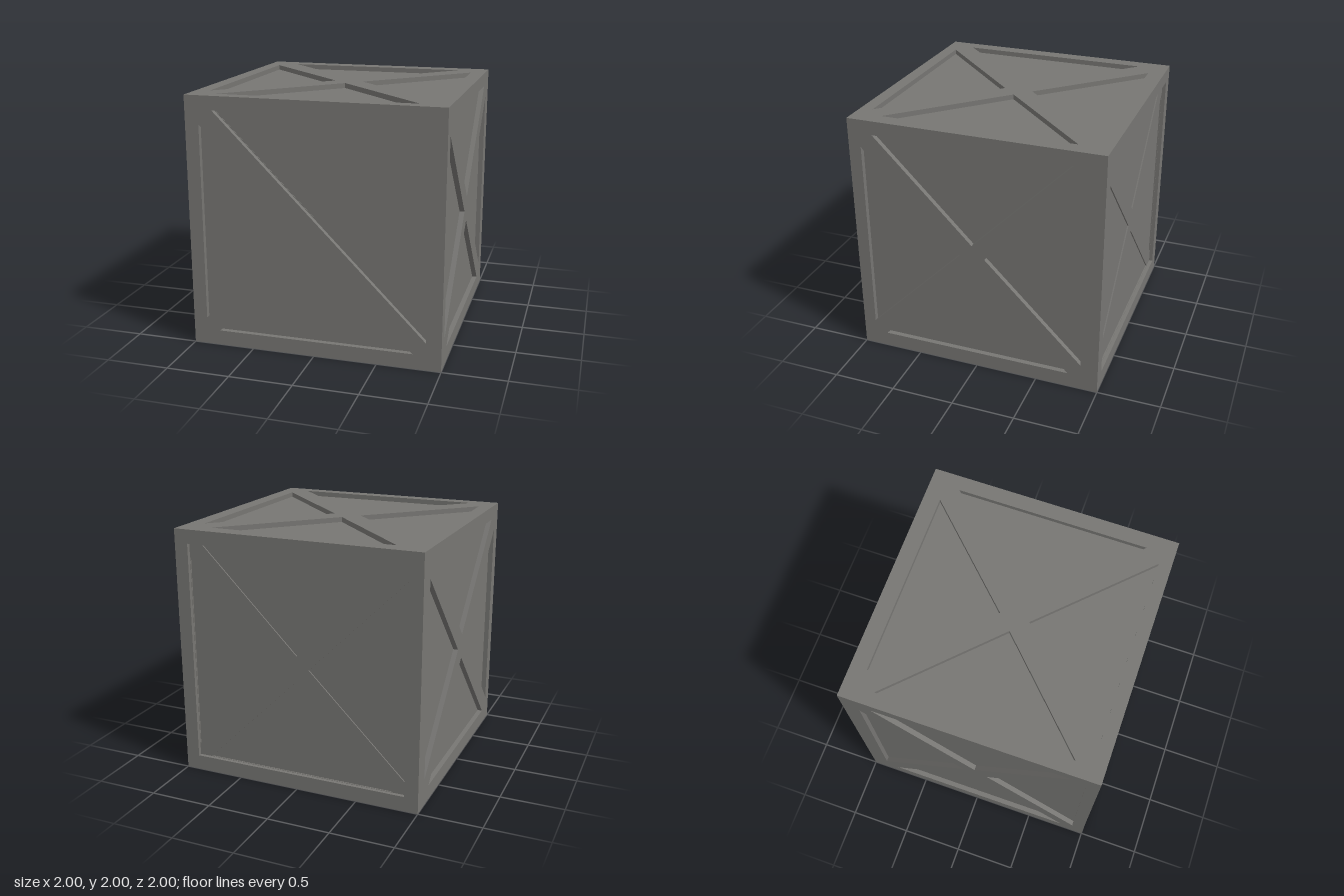
import * as THREE from 'three';
import { mergeGeometries } from 'three/addons/utils/BufferGeometryUtils.js';

const DEPTH = 0.04;
const vec = (points) => points.map(([u, v]) => new THREE.Vector2(u, v));

// Flat region at height z with polygonal openings.
function flat(outline, holes, z) {
  const shape = new THREE.Shape(vec(outline));
  for (const h of holes) shape.holes.push(new THREE.Path(vec(h)));
  const g = new THREE.ShapeGeometry(shape).toNonIndexed();
  g.deleteAttribute('uv');
  return g.translate(0, 0, z);
}

// Inward-facing walls around a counter-clockwise opening.
function walls(outline, top, bottom) {
  const p = [];
  outline.forEach((a, i) => {
    const b = outline[(i + 1) % outline.length];
    p.push(...a, top, ...b, top, ...b, bottom);
    p.push(...a, top, ...b, bottom, ...a, bottom);
  });
  const g = new THREE.BufferGeometry();
  g.setAttribute('position', new THREE.Float32BufferAttribute(p, 3));
  g.computeVertexNormals();
  return g;
}

const square = (h, b = -h) => [[-h, b], [h, b], [h, h], [-h, h]];

// Four triangular openings between the diagonal braces, counter-clockwise.
function triangles({ left = -0.89, right = 0.88, top = 0.89, bottom = -0.88, cu = 0, cv = 0,
  gap = 0.1, topHalf = 0.78, bottomHalf = 0.78, sideHalf = 0.78 }) {
  return {
    top: [[cu + topHalf, top], [cu - topHalf, top], [cu, cv + gap]],
    bottom: [[cu - bottomHalf, bottom], [cu + bottomHalf, bottom], [cu, cv - gap]],
    left: [[left, cv + sideHalf], [left, cv - sideHalf], [cu - gap, cv]],
    right: [[right, cv - sideHalf], [right, cv + sideHalf], [cu + gap, cv]],
  };
}

export function createModel() {
  const grey = new THREE.MeshStandardMaterial({ color: 0x777673 });
  grey.name = 'crateGrey';
  const model = new THREE.Group();
  model.name = 'crate';

  function addPanel(name, rx, ry, build) {
    const panel = new THREE.Group();
    panel.name = name;
    panel.position.y = 1;
    panel.rotation.set(rx, ry, 0);
    for (const [part, list] of Object.entries(build)) {
      const mesh = new THREE.Mesh(mergeGeometries(list), grey);
      mesh.name = part;
      panel.add(mesh);
    }
    model.add(panel);
  }

  // Frame and cross braces at the surface, with sunken triangular boards.
  function bracedPanel(name, rx, ry, options) {
    const holes = Object.values(triangles(options));
    addPanel(name, rx, ry, {
      frameAndBraces: [flat(square(1), holes, 1), ...holes.map((h) => walls(h, 1, 1 - DEPTH))],
      sunkenBoards: holes.map((h) => flat(h, [], 1 - DEPTH)),
    });
  }

  const half = Math.PI / 2;
  bracedPanel('rightSide', 0, half, { left: -0.9, right: 0.86, cu: -0.02 });
  bracedPanel('leftSide', 0, -half, { left: -0.86, right: 0.9, cu: 0.02 });
  const lid = { top: 0.87, bottom: -0.9, cv: -0.01, gap: 0.115, topHalf: 0.75, sideHalf: 0.765 };
  bracedPanel('topSide', -half, 0, lid);
  bracedPanel('underside', half, 0, {
    ...lid, top: 0.9, bottom: -0.87, cv: 0.01, topHalf: 0.78, bottomHalf: 0.75,
  });

  // Front: the upper right brace lies sunken, level with the boards.
  const f = triangles({});
  const corner = [[-0.78, 0.89], [0.88, -0.78], [0.88, 0.89]];
  const frontHoles = [f.left, f.bottom, corner];
  const floor = 1 - DEPTH;
  const inset = [[0.775, 0.887], [-0.77, 0.887], [0, 0.113]];
  addPanel('frontSide', 0, 0, {
    frameAndBraces: [flat(square(1), frontHoles, 1), ...frontHoles.map((h) => walls(h, 1, floor))],
    sunkenBoards: [
      flat(f.left, [], floor), flat(f.bottom, [], floor), flat(corner, [inset], floor),
      walls(inset, floor, floor - 0.003), flat(inset, [], floor - 0.003),
    ],
  });

  // Back: square opening with the whole cross set below the frame.
  const opening = square(0.89, -0.88);
  const backHoles = Object.values(triangles({
    left: -0.887, right: 0.887, top: 0.887, bottom: -0.877,
  }));
  const brace = 1 - 0.03;
  addPanel('backSide', 0, Math.PI, {
    frame: [flat(square(1), [opening], 1), walls(opening, 1, brace)],
    sunkenBraces: [flat(opening, backHoles, brace), ...backHoles.map((h) => walls(h, brace, floor))],
    sunkenBoards: backHoles.map((h) => flat(h, [], floor)),
  });

  return model;
}
